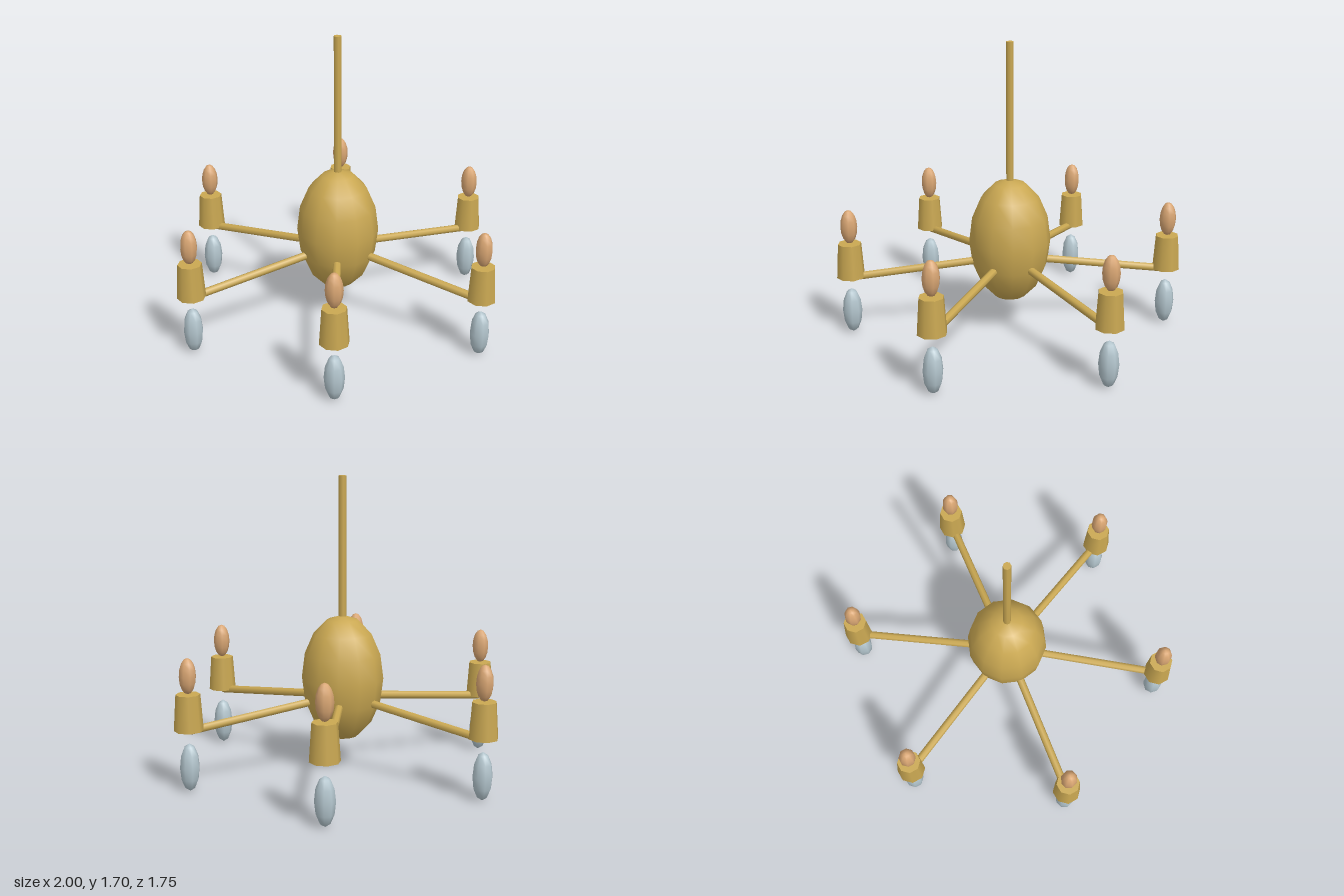
import * as THREE from 'three';

const material = (name, color) => {
  const m = new THREE.MeshStandardMaterial({ color });
  m.name = name;
  return m;
};

export function createModel() {
  const brass = material('brass', 0xcaa852);
  const flameOrange = material('flame orange', 0xd9a673);
  const crystalBlue = material('crystal blue', 0xb4c6ce);

  const model = new THREE.Group();
  model.name = 'chandelier';

  const add = (parent, name, geometry, mat, x, y, z) => {
    const mesh = new THREE.Mesh(geometry, mat);
    mesh.name = name;
    mesh.position.set(x, y, z);
    parent.add(mesh);
    return mesh;
  };
  const ellipsoid = (r, h, sides, rings) =>
    new THREE.SphereGeometry(1, sides, rings).scale(r, h, r);

  // Central egg-shaped body and hanging rod
  add(model, 'body', ellipsoid(0.235, 0.367, 12, 8), brass, 0, 0.547, 0);
  add(model, 'hangingRod', new THREE.CylinderGeometry(0.022, 0.022, 0.82, 8), brass, 0, 1.29, 0);

  // Shared geometry for the six arms
  const start = new THREE.Vector2(0.1, 0.436);
  const end = new THREE.Vector2(0.91, 0.343);
  const span = end.clone().sub(start);
  const armGeometry = new THREE.CylinderGeometry(0.023, 0.023, span.length(), 8);
  const cupGeometry = new THREE.CylinderGeometry(0.067, 0.081, 0.203, 8);
  const flameGeometry = ellipsoid(0.048, 0.1, 8, 8);
  const crystalGeometry = ellipsoid(0.056, 0.135, 8, 6);
  const reach = 0.919;

  // Each arm carries a cup, a flame above and a crystal drop below
  for (let i = 0; i < 6; i++) {
    const angle = (i * Math.PI) / 3;
    const branch = new THREE.Group();
    branch.name = `branch${i + 1}`;
    branch.rotation.y = angle;
    const arm = add(branch, 'arm', armGeometry, brass,
      (start.x + end.x) / 2, (start.y + end.y) / 2, 0);
    arm.rotation.z = span.angle() - Math.PI / 2;
    add(branch, 'cup', cupGeometry, brass, reach, 0.448, 0).rotation.y = -angle;
    add(branch, 'flame', flameGeometry, flameOrange, reach, 0.65, 0);
    add(branch, 'crystalDrop', crystalGeometry, crystalBlue, reach, 0.137, 0);
    model.add(branch);
  }
  return model;
}
